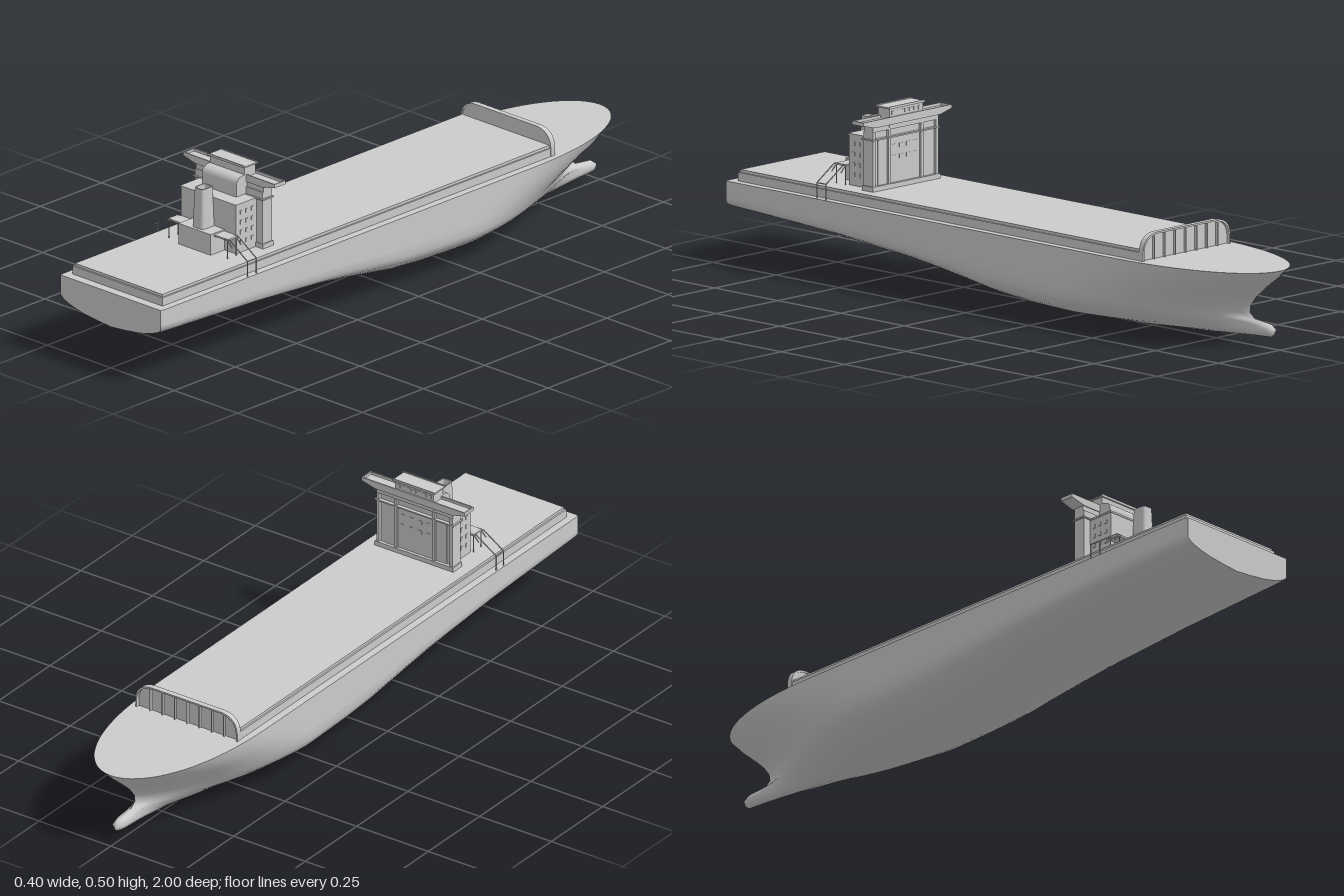
import * as THREE from 'three';

const grey = new THREE.MeshStandardMaterial({ color: 0xcccccc, side: THREE.DoubleSide });
const DECK = 0.23, HATCH = 0.263;

function add(parent, name, geometry) {
  const mesh = new THREE.Mesh(geometry, grey);
  mesh.name = name;
  parent.add(mesh);
  return mesh;
}

// Box given by its minimum and maximum on each axis
function box(parent, name, x0, x1, y0, y1, z0, z1) {
  const mesh = add(parent, name, new THREE.BoxGeometry(x1 - x0, y1 - y0, z1 - z0));
  mesh.position.set((x0 + x1) / 2, (y0 + y1) / 2, (z0 + z1) / 2);
  return mesh;
}

// Profile in the xy plane, extruded from z0 to z1
function plate(parent, name, shape, z0, z1) {
  const mesh = add(parent, name, new THREE.ExtrudeGeometry(shape, { depth: z1 - z0, bevelEnabled: false, curveSegments: 10 }));
  mesh.position.z = z0;
  return mesh;
}

function polygon(points) {
  return new THREE.Shape(points.map(p => new THREE.Vector2(...p)));
}

// Round bar between two points
function rod(parent, name, a, b, r = 0.0018) {
  const p = new THREE.Vector3(...a), q = new THREE.Vector3(...b);
  const mesh = add(parent, name, new THREE.CylinderGeometry(r, r, p.distanceTo(q), 6));
  mesh.position.copy(p).lerp(q, 0.5);
  mesh.quaternion.setFromUnitVectors(new THREE.Vector3(0, 1, 0), q.sub(p).normalize());
}

// Skin over rows of points
function skin(rows) {
  const n = rows[0].length, index = [];
  for (let i = 0; i < rows.length - 1; i++) {
    for (let j = 0; j < n - 1; j++) {
      const a = i * n + j, b = a + 1, c = a + n, d = c + 1;
      index.push(a, c, b, b, c, d);
    }
  }
  const g = new THREE.BufferGeometry();
  g.setAttribute('position', new THREE.Float32BufferAttribute(rows.flat(2), 3));
  g.setIndex(index);
  g.computeVertexNormals();
  return g;
}

// Keel height along the ship, as [z, y]
const keelLine = [[-1, 0.035], [-0.9, 0.03], [-0.7, 0.015], [-0.5, 0.004], [-0.3, 0], [-0.12, 0.007],
  [0, 0.018], [0.15, 0.045], [0.3, 0.069], [0.6, 0.1], [1, 0.126]];
function keel(z) {
  const i = Math.max(1, keelLine.findIndex(p => p[0] >= z));
  const [z0, y0] = keelLine[i - 1], [z1, y1] = keelLine[i];
  return THREE.MathUtils.mapLinear(z, z0, z1, y0, y1);
}

// Hull levels: height fraction, width fraction, stem z, bow length, bow powers a and b, bulb half width
const levels = [
  [0, 0, -0.965, 0.65, 1.8, 1.1, 0],
  [0.04, 0.25, -0.978, 0.65, 1.8, 1.1, 0.013],
  [0.11, 0.55, -0.982, 0.65, 1.8, 1.1, 0.019],
  [0.18, 0.72, -0.965, 0.65, 1.8, 1.05, 0.014],
  [0.24, 0.83, -0.9, 0.62, 1.8, 1, 0.004],
  [0.32, 0.94, -0.882, 0.6, 1.8, 1, 0],
  [0.42, 1, -0.885, 0.6, 1.8, 0.9, 0],
  [0.56, 1, -0.907, 0.58, 1.9, 0.75, 0],
  [0.7, 1, -0.938, 0.55, 2, 0.65, 0],
  [0.85, 1, -0.972, 0.52, 2.2, 0.55, 0],
  [1, 1, -1, 0.5, 2.3, 0.5, 0],
];

function hullPoint([v, f, stem, length, a, b, bulb], z) {
  const bodyStem = Math.max(stem, v < 0.3 ? -0.885 : -1);
  const q = THREE.MathUtils.clamp((z - bodyStem) / length, 0, 1);
  const body = 0.2 * f * Math.pow(1 - Math.pow(1 - q, a), b);
  const s = THREE.MathUtils.clamp((z - stem) / 0.035, 0, 1);
  const corner = z > 0.99 ? 0.985 : 1;
  const k = keel(z);
  return [Math.hypot(body, bulb * Math.sqrt(s * (2 - s))) * corner, k + (DECK - k) * v, z];
}

function buildHull(root) {
  const hull = new THREE.Group();
  hull.name = 'hull';
  root.add(hull);
  const halves = [];
  for (const z of [1, 0.985, 0.8, 0.6, 0.45, 0.3, 0.2, 0.1, 0, -0.06, -0.12, -0.2]) halves.push(levels.map(l => hullPoint(l, z)));
  const N = 28;
  for (let i = 1; i <= N; i++) {
    const t = Math.sin(i / N * Math.PI / 2);
    halves.push(levels.map(l => hullPoint(l, -0.2 + t * (l[2] + 0.2))));
  }
  const mirror = ([x, y, z]) => [-x, y, z];
  add(hull, 'hullShell', skin(halves.map(h => [...h.slice(1).reverse().map(mirror), ...h])));
  add(hull, 'mainDeck', skin(halves.map(h => h[h.length - 1]).map(p => [p, mirror(p)])));
  add(hull, 'transom', skin(halves[0].map(p => [p, mirror(p)])));
  box(hull, 'hatchCoaming', -0.177, 0.177, DECK - 0.002, HATCH - 0.008, -0.617, 0.972);
  box(hull, 'hatchCover', -0.172, 0.172, HATCH - 0.01, HATCH, -0.615, 0.967);
}

// Breakwater outline, with rounded upper corners
function archShape(w, top) {
  const s = new THREE.Shape();
  s.moveTo(-w, DECK);
  s.lineTo(-w, 0.255);
  s.quadraticCurveTo(-w + 0.003, top - 0.004, -w + 0.055, top);
  s.lineTo(w - 0.055, top);
  s.quadraticCurveTo(w - 0.003, top - 0.004, w, 0.255);
  s.lineTo(w, DECK);
  s.closePath();
  return s;
}

function buildBreakwater(root) {
  const g = new THREE.Group();
  g.name = 'breakwater';
  root.add(g);
  plate(g, 'breakwaterWall', archShape(0.174, 0.304), -0.622, -0.617);
  const rim = archShape(0.178, 0.308);
  rim.holes.push(new THREE.Path(archShape(0.173, 0.303).getPoints(10)));
  plate(g, 'breakwaterRim', rim, -0.632, -0.615);
  for (let i = -3; i <= 3; i++) box(g, 'breakwaterRib', i * 0.043 - 0.0015, i * 0.043 + 0.0015, DECK, Math.abs(i) === 3 ? 0.298 : 0.304, -0.63, -0.62);
}

function buildHouse(root) {
  const g = new THREE.Group();
  g.name = 'deckhouse';
  root.add(g);
  // Accommodation tower
  box(g, 'tower', -0.108, 0.108, HATCH, 0.41, 0.485, 0.6);
  box(g, 'towerFront', -0.133, 0.133, HATCH, 0.434, 0.487, 0.517);
  box(g, 'towerFoot', -0.137, 0.137, HATCH, 0.277, 0.476, 0.52);
  box(g, 'towerLedge', -0.138, 0.138, 0.41, 0.414, 0.476, 0.522);
  box(g, 'towerRoof', -0.11, 0.11, 0.408, 0.413, 0.515, 0.602);
  for (const s of [-1, 1]) {
    for (const x of [0.066, 0.128]) box(g, 'pilaster', s * x - 0.005, s * x + 0.005, HATCH, 0.434, 0.479, 0.49);
    // Side windows
    for (let r = 0; r < 4; r++) {
      for (let c = 0; c < 3; c++) {
        const y = 0.295 + r * 0.03, z = 0.534 + c * 0.023;
        box(g, 'sideWindow', s * 0.108 - 0.002, s * 0.108 + 0.002, y - 0.006, y + 0.006, z - 0.004, z + 0.004);
      }
    }
  }
  // Forward windows
  for (let r = 0; r < 2; r++) {
    for (let c = 0; c < 4; c++) {
      const x = (c - 1.5) * 0.029, y = 0.35 + r * 0.032;
      box(g, 'frontWindow', x - 0.007, x + 0.007, y - 0.006, y + 0.006, 0.484, 0.49);
    }
  }
  // Bridge wings: floor, parapets and end plates
  const flare = (top) => polygon([[-0.18, 0.461], [-0.133, 0.449], [0.133, 0.449], [0.18, 0.461], [0.18, top], [-0.18, top]]);
  box(g, 'bridgeBase', -0.133, 0.133, 0.434, 0.45, 0.48, 0.514);
  plate(g, 'wingFloor', flare(0.463), 0.474, 0.516);
  plate(g, 'wingParapetForward', flare(0.471), 0.472, 0.476);
  plate(g, 'wingParapetAft', flare(0.471), 0.513, 0.517);
  for (const s of [-1, 1]) box(g, 'wingEnd', s * 0.178 - 0.002, s * 0.178 + 0.002, 0.46, 0.471, 0.473, 0.516);
  // Wheelhouse with window row and rimmed roof
  box(g, 'wheelhouse', -0.068, 0.068, 0.44, 0.494, 0.478, 0.524);
  for (let c = 0; c < 7; c++) {
    const x = (c - 3) * 0.018;
    box(g, 'bridgeWindow', x - 0.006, x + 0.006, 0.476, 0.487, 0.4765, 0.48);
  }
  box(g, 'wheelhouseRoof', -0.072, 0.072, 0.494, 0.498, 0.473, 0.529);
  for (const z of [0.473, 0.526]) box(g, 'roofRim', -0.072, 0.072, 0.496, 0.501, z, z + 0.003);
  // Curved housing behind the wheelhouse
  const back = new THREE.Shape();
  back.moveTo(0.51, 0.41);
  back.lineTo(0.557, 0.41);
  back.lineTo(0.557, 0.448);
  back.quadraticCurveTo(0.555, 0.47, 0.53, 0.472);
  back.lineTo(0.51, 0.472);
  const housing = plate(g, 'curvedHousing', back, 0, 0.136);
  housing.rotation.y = -Math.PI / 2;
  housing.position.x = 0.068;
}

function buildFunnel(root) {
  const g = new THREE.Group();
  g.name = 'funnel';
  root.add(g);
  box(g, 'funnelBase', -0.063, 0.063, HATCH, 0.326, 0.598, 0.657);
  // Tapered square stack with rounded corners
  const rows = [[0.325, 0.023, 0.028], [0.436, 0.0185, 0.0235], [0.445, 0.018, 0.023], [0.445, 0.0145, 0.0195], [0.425, 0.0145, 0.0195]].map(([y, w, d]) => {
    const ring = [];
    for (let i = 0; i <= 24; i++) {
      const a = i / 24 * Math.PI * 2, c = Math.cos(a), s = Math.sin(a);
      ring.push([w * Math.sign(c) * Math.pow(Math.abs(c), 0.45), y, 0.62 + d * Math.sign(s) * Math.pow(Math.abs(s), 0.45)]);
    }
    return ring;
  });
  for (let i = 0; i < rows.length - 1; i++) add(g, 'stack', skin([rows[i], rows[i + 1]]));
  box(g, 'stackCap', -0.014, 0.014, 0.424, 0.427, 0.603, 0.637);
}

// Side platform with braces and rails down to the deck edge
function buildGangway(root, s) {
  const g = new THREE.Group();
  g.name = s > 0 ? 'leftGangway' : 'rightGangway';
  root.add(g);
  box(g, 'platform', Math.min(s * 0.06, s * 0.118), Math.max(s * 0.06, s * 0.118), 0.317, 0.322, 0.602, 0.643);
  for (const z of [0.606, 0.642]) {
    rod(g, 'post', [s * 0.194, DECK, z], [s * 0.194, 0.276, z]);
    rod(g, 'slopedRail', [s * 0.194, 0.276, z], [s * 0.125, 0.321, z]);
    rod(g, 'topRail', [s * 0.125, 0.321, z], [s * 0.105, 0.321, z]);
    rod(g, 'brace', [s * 0.115, 0.319, z], [s * 0.134, 0.3, z]);
    rod(g, 'innerPost', [s * 0.115, HATCH, z], [s * 0.115, 0.32, z]);
  }
  rod(g, 'crossBar', [s * 0.194, 0.276, 0.606], [s * 0.194, 0.276, 0.642]);
}

export function createModel() {
  const ship = new THREE.Group();
  ship.name = 'cargoShip';
  buildHull(ship);
  buildBreakwater(ship);
  buildHouse(ship);
  buildFunnel(ship);
  for (const s of [-1, 1]) buildGangway(ship, s);
  return ship;
}
